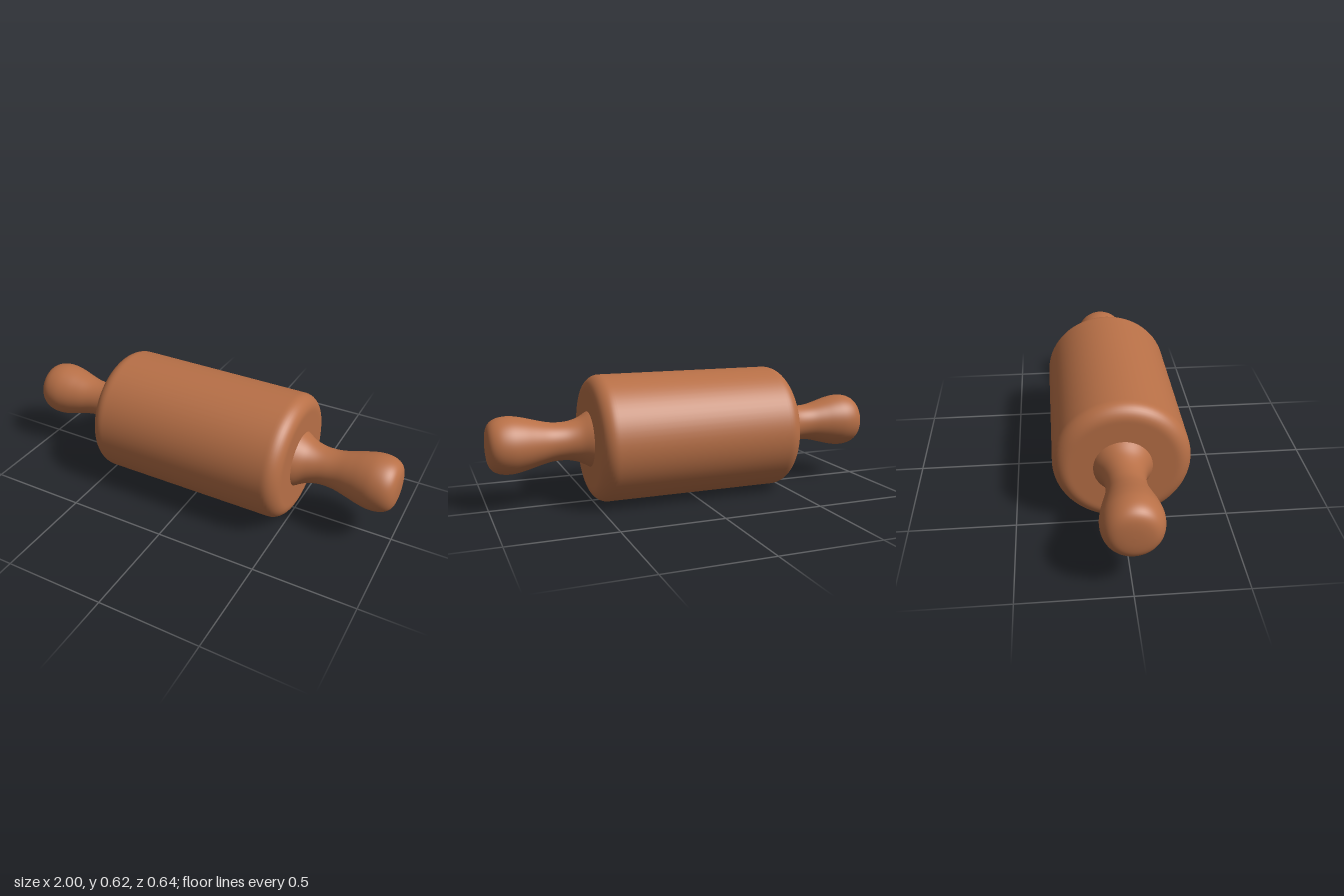
import * as THREE from 'three';

const CENTER_Y = 0.311;

export function createModel() {
  const model = new THREE.Group();
  model.name = 'rollingPin';
  const wood = new THREE.MeshStandardMaterial({ color: 0xb87047 });
  wood.name = 'warm wood';

  // Turned part: profile of [radius, position along axis], laid along x
  function turned(name, points, side) {
    const mesh = new THREE.Mesh(new THREE.LatheGeometry(points, 72), wood);
    mesh.name = name;
    mesh.rotation.z = -side * Math.PI / 2;
    mesh.position.y = CENTER_Y;
    model.add(mesh);
    return mesh;
  }

  // Barrel with rounded rims, very slightly oval
  const half = 0.512, radius = 0.311, fillet = 0.07;
  const rim = [];
  for (let i = 0; i <= 10; i++) {
    const a = (i / 10) * Math.PI / 2;
    rim.push(new THREE.Vector2(
      radius - fillet + fillet * Math.cos(a),
      half - fillet + fillet * Math.sin(a)));
  }
  const upper = [
    new THREE.Vector2(radius, half - fillet - 0.01),
    ...rim,
    new THREE.Vector2(radius - fillet - 0.01, half),
    new THREE.Vector2(0.12, half),
    new THREE.Vector2(0, half),
  ];
  const lower = upper.map(p => new THREE.Vector2(p.x, -p.y)).reverse();
  const barrel = turned('barrel', [...lower, ...upper], 1);
  barrel.scale.z = 0.32 / radius;

  // Handles: flared root, narrow neck, rounded grip
  const curve = new THREE.SplineCurve([
    [0.145, 0.495], [0.134, 0.515], [0.109, 0.56], [0.095, 0.61], [0.092, 0.66],
    [0.097, 0.71], [0.112, 0.77], [0.128, 0.83], [0.137, 0.885],
    [0.133, 0.935], [0.117, 0.97], [0.09, 0.99], [0.05, 0.998], [0, 1.0],
  ].map(([r, x]) => new THREE.Vector2(r, x)));
  const profile = curve.getPoints(52);
  profile.forEach(p => { p.x = Math.max(p.x, 0); });
  turned('leftHandle', profile, 1);
  turned('rightHandle', profile, -1);

  return model;
}
